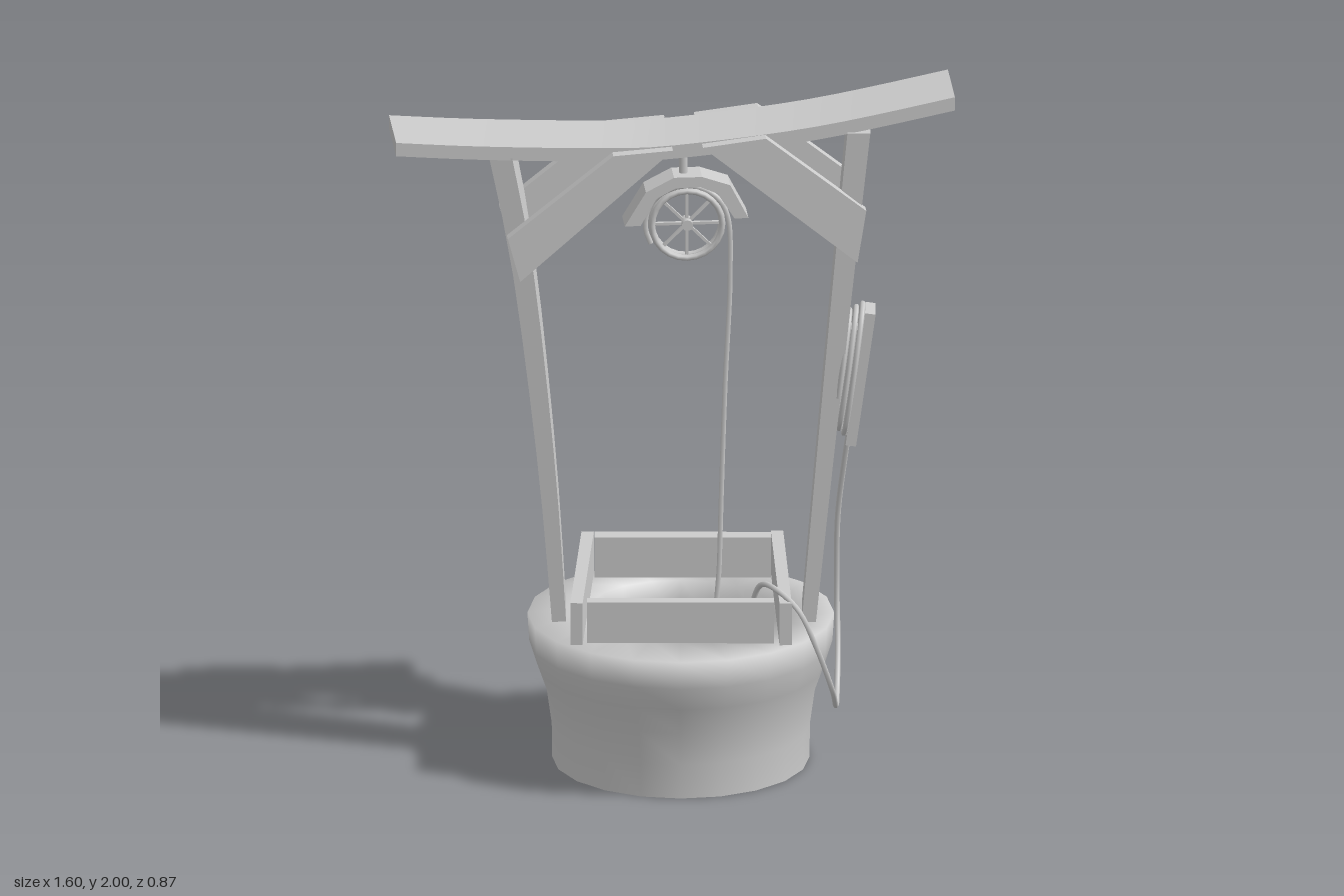
import * as THREE from 'three';

const mat = new THREE.MeshStandardMaterial({ color: 0xcccccc, side: THREE.DoubleSide });
const V = (x, y, z) => new THREE.Vector3(x, y, z);

function add(parent, name, geometry, x = 0, y = 0, z = 0) {
  const mesh = new THREE.Mesh(geometry, mat);
  mesh.name = name;
  mesh.position.set(x, y, z);
  parent.add(mesh);
  return mesh;
}

// Moves every vertex of a geometry by a rule
function reshape(geometry, rule) {
  const p = geometry.attributes.position, v = V(0, 0, 0);
  for (let i = 0; i < p.count; i++) {
    rule(v.fromBufferAttribute(p, i));
    p.setXYZ(i, v.x, v.y, v.z);
  }
  geometry.computeVertexNormals();
  return geometry;
}

// Smooth curve y(x) through [x, y] knots
function knots(list) {
  const curve = new THREE.SplineCurve(list.map(([a, b]) => new THREE.Vector2(a, b)));
  const pts = curve.getPoints(80);
  return (x) => {
    let i = 1;
    while (i < pts.length - 1 && pts[i].x < x) i++;
    const a = pts[i - 1], b = pts[i];
    return a.y + (b.y - a.y) * (x - a.x) / (b.x - a.x);
  };
}

// Solid plate in the xy plane from outline points
function plate(points, depth) {
  const shape = new THREE.Shape(points.map(([x, y]) => new THREE.Vector2(x, y)));
  return new THREE.ExtrudeGeometry(shape, { depth, bevelEnabled: false });
}

function rope(parent, name, points, radius = 0.008, closed = false) {
  const curve = new THREE.CatmullRomCurve3(points, closed);
  return add(parent, name, new THREE.TubeGeometry(curve, points.length * 8, radius, 6, closed));
}

// Bent post tapering from a wide top to a narrow foot
function post(parent, name, centre, top, topZ) {
  const foot = 0.42;
  add(parent, name, reshape(new THREE.BoxGeometry(1, 1, 1, 1, 8, 1), (v) => {
    const t = v.y + 0.5, y = foot + t * (top - foot);
    const thick = 0.04 + 0.025 * t, wide = 0.17 + 0.075 * t;
    v.set(centre(y) + v.x * thick, y, topZ * t + v.z * wide);
  }));
}

export function createModel() {
  const model = new THREE.Group();
  model.name = 'well';

  // Flared round base with an open shaft and a floor
  const profile = [[0.365, 0], [0.366, 0.1], [0.38, 0.2], [0.408, 0.28], [0.43, 0.35],
    [0.435, 0.432], [0.27, 0.435], [0.3, 0.3], [0.36, 0.17], [0, 0.17]];
  add(model, 'base', new THREE.LatheGeometry(profile.map(([r, y]) => new THREE.Vector2(r, y)), 20), 0.025);

  // Square plank frame around the opening
  const frame = new THREE.Group();
  frame.name = 'plankFrame';
  model.add(frame);
  add(frame, 'frontPlank', new THREE.BoxGeometry(0.53, 0.122, 0.04), 0.025, 0.504, 0.278);
  add(frame, 'backPlank', new THREE.BoxGeometry(0.5, 0.12, 0.05), 0.03, 0.503, -0.293);
  const left = add(frame, 'leftPlank', new THREE.BoxGeometry(0.035, 0.125, 0.63), 0.31, 0.501, -0.013);
  left.rotation.y = 0.04;
  const right = add(frame, 'rightPlank', new THREE.BoxGeometry(0.035, 0.125, 0.62), -0.255, 0.501, -0.01);
  right.rotation.y = -0.05;

  // Posts
  post(model, 'leftPost', knots([[0.4, 0.385], [0.9, 0.432], [1.5, 0.49], [1.95, 0.535]]), 1.9, -0.037);
  post(model, 'rightPost', knots([[0.4, -0.318], [0.9, -0.355], [1.5, -0.422], [1.9, -0.495]]), 1.85, 0.037);

  // Head: roof plank, braces and pulley share a slight turn
  const head = new THREE.Group();
  head.name = 'head';
  head.rotation.y = 0.085;
  model.add(head);

  const sag = knots([[-0.82, 1.908], [-0.55, 1.888], [-0.2, 1.873], [0, 1.876], [0.4, 1.92], [0.82, 2.002]]);
  add(head, 'roofPlank', reshape(new THREE.BoxGeometry(1.59, 0.04, 0.24, 20, 1, 1), (v) => {
    v.y = sag(v.x) - 0.02 + v.y;
  }));

  const braces = {
    rightBrace: [[-0.18, 1.86], [-0.48, 1.62], [-0.445, 1.49], [-0.01, 1.872]],
    leftBrace: [[0.075, 1.878], [0.515, 1.52], [0.54, 1.675], [0.255, 1.9]],
  };
  for (const [name, outline] of Object.entries(braces)) {
    add(head, name + 'Front', plate(outline, 0.035), 0, 0, 0.12);
    add(head, name + 'Back', plate(outline, 0.035), 0, 0, -0.155);
  }

  // Pulley hung from the roof
  const pulley = new THREE.Group();
  pulley.name = 'pulley';
  pulley.position.set(0.042, 1.6, 0);
  head.add(pulley);
  add(pulley, 'hanger', new THREE.CylinderGeometry(0.012, 0.012, 0.12, 8), -0.01, 0.195, 0);
  add(pulley, 'hangerCap', new THREE.CylinderGeometry(0.03, 0.022, 0.025, 8), -0.01, 0.232, 0);
  add(pulley, 'hood', plate([[-0.18, 0.01], [-0.12, 0.11], [-0.04, 0.152], [0.04, 0.152], [0.12, 0.125],
    [0.172, 0.025], [0.132, 0.025], [0.085, 0.1], [0.035, 0.122], [-0.035, 0.12], [-0.09, 0.09], [-0.135, 0.01]], 0.09),
  0, 0, -0.045);
  for (const z of [-0.014, 0.014]) add(pulley, 'wheelRim', new THREE.TorusGeometry(0.1, 0.009, 6, 24), 0, 0, z);
  add(pulley, 'hub', new THREE.CylinderGeometry(0.016, 0.016, 0.05, 10).rotateX(Math.PI / 2));
  for (let i = 0; i < 4; i++) {
    add(pulley, 'spoke', new THREE.BoxGeometry(0.2, 0.008, 0.01)).rotation.z = i * Math.PI / 4;
  }

  // Rope over the wheel, down the shaft and coiled on the floor
  const line = [V(-0.06, 1.54, 0)];
  for (let i = 0; i <= 6; i++) {
    const a = Math.PI * (1.05 - i / 6);
    line.push(V(0.042 + 0.118 * Math.cos(a), 1.6 + 0.112 * Math.sin(a), 0));
  }
  line.push(V(0.165, 1.45, 0), V(0.15, 1.1, 0), V(0.135, 0.6, 0), V(0.13, 0.28, 0));
  for (let i = 0; i <= 10; i++) {
    const a = i * 0.6;
    line.push(V(0.2 * Math.cos(a), 0.19 + 0.004 * i, -0.2 * Math.sin(a)));
  }
  rope(model, 'wellRope', line);

  // Rope bundle and cleat board on the outside of the left post
  const bundle = new THREE.Group();
  bundle.name = 'ropeBundle';
  bundle.position.set(0.515, 1.15, 0);
  bundle.rotation.z = -0.14;
  model.add(bundle);
  add(bundle, 'cleatBoard', new THREE.BoxGeometry(0.03, 0.4, 0.1), 0.02, 0, 0);
  add(bundle, 'cleatBlock', new THREE.BoxGeometry(0.07, 0.28, 0.06), -0.025, 0, 0);
  for (let k = 0; k < 3; k++) {
    const loop = [];
    for (let i = 0; i < 12; i++) {
      const a = i * Math.PI / 6;
      loop.push(V(-0.003 - 0.017 * k, 0.015 + (0.195 - 0.012 * k) * Math.sin(a), (0.095 - 0.005 * k) * Math.cos(a)));
    }
    rope(bundle, 'ropeLoop', loop, 0.008, true);
  }

  // Loose rope drooping from the bundle back into the frame
  rope(model, 'looseRope', [V(0.5, 0.98, 0.04), V(0.49, 0.9, 0.01), V(0.47, 0.7, -0.065), V(0.467, 0.46, -0.115),
    V(0.47, 0.32, -0.07), V(0.468, 0.21, 0.03), V(0.465, 0.195, 0.12), V(0.455, 0.28, 0.235), V(0.41, 0.43, 0.3),
    V(0.36, 0.54, 0.3), V(0.3, 0.582, 0.245), V(0.25, 0.565, 0.15), V(0.22, 0.45, 0.1), V(0.2, 0.2, 0.05)]);

  return model;
}
